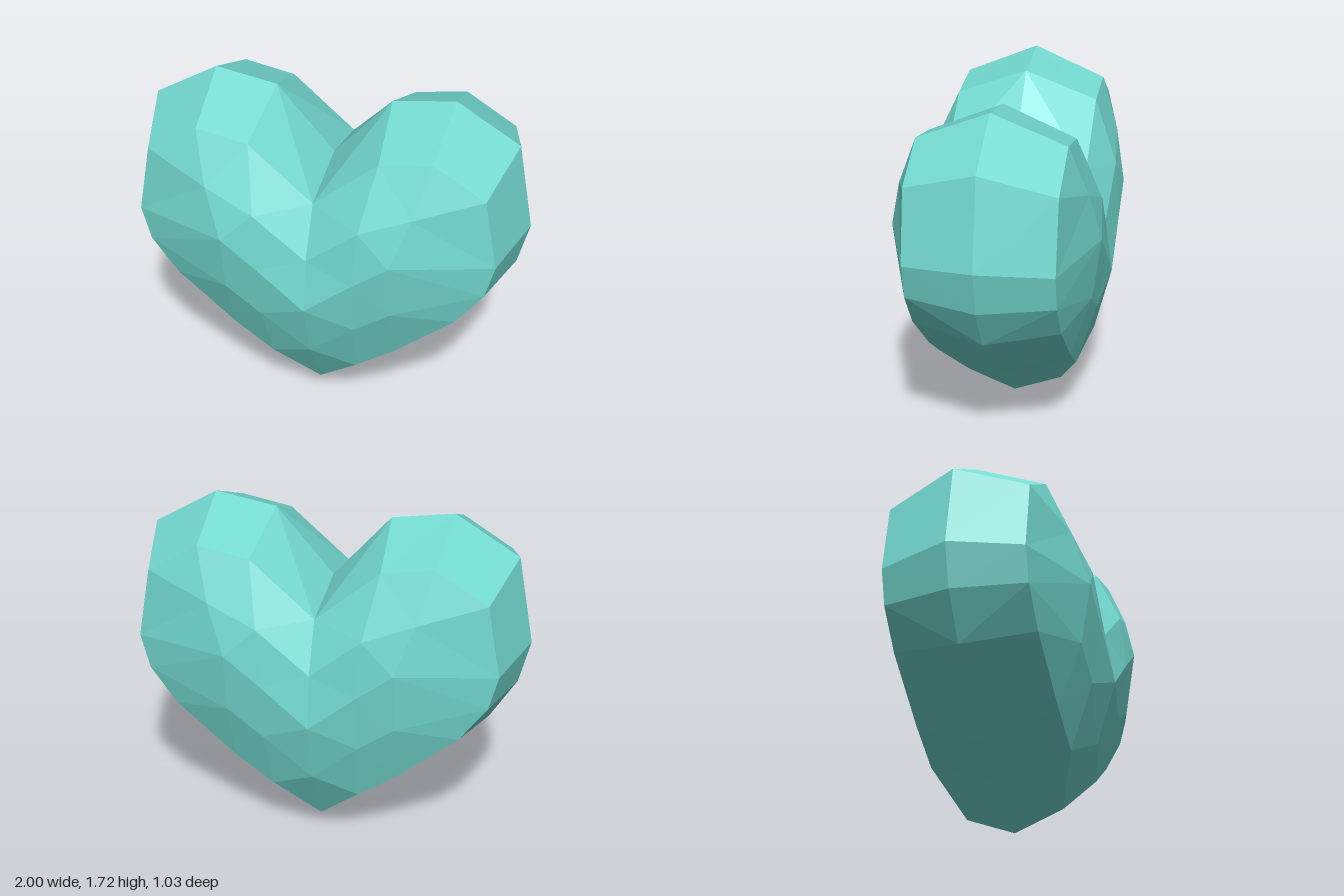
import * as THREE from 'three';

// Half of the front face: rows from top to bottom, columns from the centre line outwards
const rows = [
  [[0, 1.255, 0.345], [0.32, 1.53, 0.345], [0.58, 1.575, 0.345], [0.58, 1.575, 0.345]],
  [[0, 1.0, 0.47], [0.26, 1.22, 0.485], [0.51, 1.32, 0.45], [0.835, 1.42, 0.345]],
  [[0, 0.73, 0.515], [0.24, 0.93, 0.515], [0.42, 1.07, 0.515], [0.9, 1.06, 0.345]],
  [[0, 0.41, 0.415], [0.24, 0.63, 0.465], [0.42, 0.76, 0.465], [0.855, 0.885, 0.345]],
  [[0, 0.095, 0.235], [0.22, 0.305, 0.345], [0.42, 0.445, 0.345], [0.72, 0.7, 0.345]],
];

// Half of the widest outline, from the notch round to the tip
const outline = [
  [0, 1.34], [0.29, 1.67], [0.6, 1.72], [0.92, 1.53], [1, 1.09],
  [0.945, 0.87], [0.81, 0.65], [0.41, 0.33], [0.19, 0.18], [0, 0],
].map(([x, y]) => [x, y, -0.012]);

// Border of the face, in step with the outline
const border = [
  ...rows[0].slice(0, 3),
  ...rows.slice(1).map((row) => row[3]),
  ...rows[4].slice(0, 3).reverse(),
];

// The back is slightly flatter than the front
const backZ = (z) => Math.max(-z - 0.025, -0.09 - 0.82 * z);

function createModel() {
  const heart = new THREE.Group();
  heart.name = 'heart';
  const material = new THREE.MeshStandardMaterial({ color: 0x73d9d0, flatShading: true });

  // Builds quads for both mirrored halves of one side
  function addPart(name, quads, side) {
    const positions = [];
    for (const mirror of [1, -1]) {
      const place = ([x, y, z]) => [x * mirror, y, side > 0 || z < 0 ? z : backZ(z)];
      for (const [a, b, c, d] of quads) {
        const triangles = a === d || (a[0] === d[0] && a[1] === d[1] && a[2] === d[2])
          ? [[a, b, c]] : [[a, b, c], [a, c, d]];
        for (const triangle of triangles) {
          if (mirror * side < 0) triangle.reverse();
          triangle.forEach((p) => positions.push(...place(p)));
        }
      }
    }
    const geometry = new THREE.BufferGeometry();
    geometry.setAttribute('position', new THREE.Float32BufferAttribute(positions, 3));
    geometry.computeVertexNormals();
    const mesh = new THREE.Mesh(geometry, material);
    mesh.name = name;
    heart.add(mesh);
  }

  const faceQuads = [];
  for (let r = 0; r < 4; r++) {
    for (let c = 0; c < 3; c++) {
      faceQuads.push([rows[r][c], rows[r + 1][c], rows[r + 1][c + 1], rows[r][c + 1]]);
    }
  }
  const rimQuads = [];
  for (let i = 0; i < border.length - 1; i++) {
    rimQuads.push([border[i], border[i + 1], outline[i + 1], outline[i]]);
  }

  // Domed faces and the bevelled rim that joins them
  addPart('frontFace', faceQuads, 1);
  addPart('frontRim', rimQuads, 1);
  addPart('backFace', faceQuads, -1);
  addPart('backRim', rimQuads, -1);
  return heart;
}

export { createModel };
